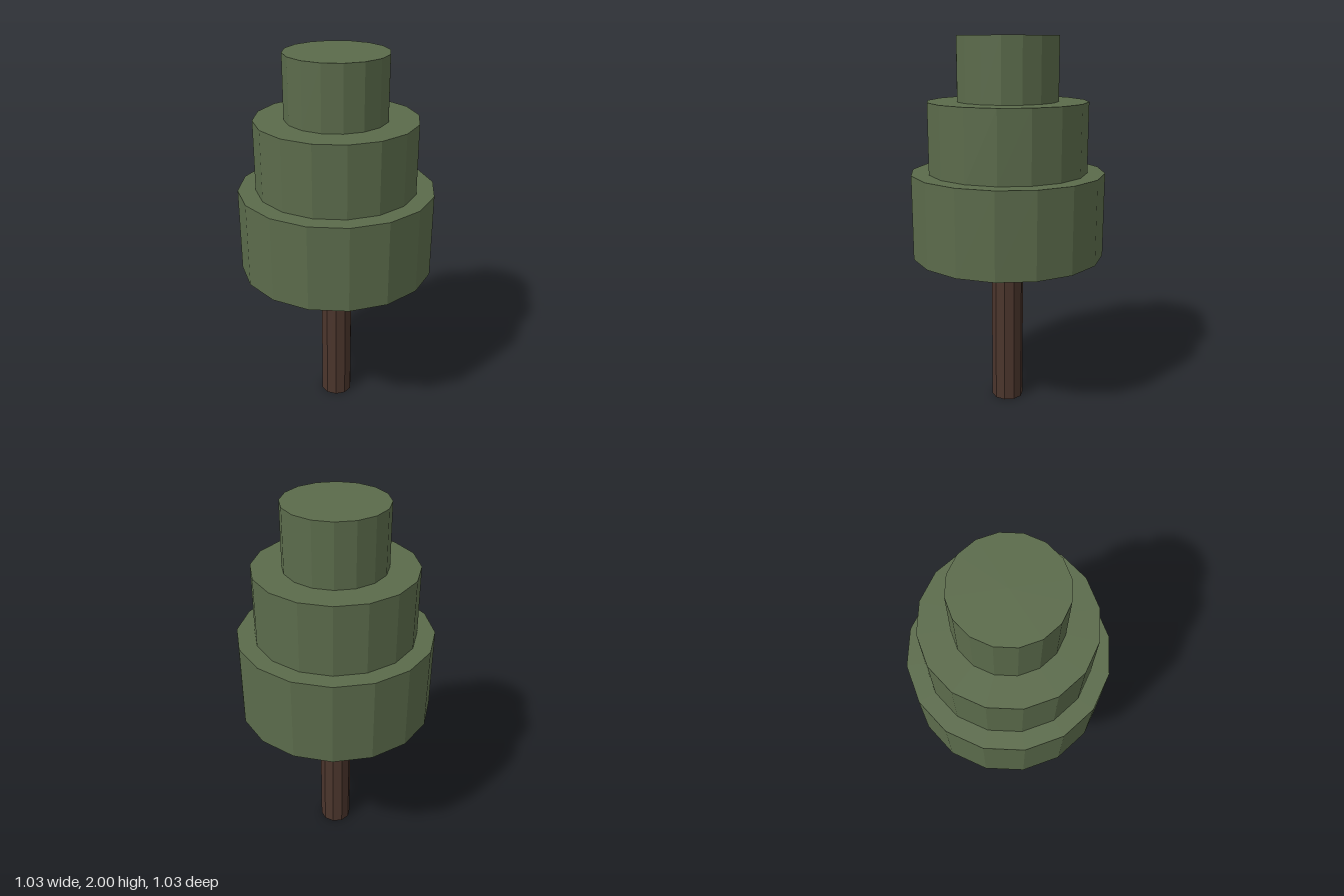
import * as THREE from 'three';

export function createModel() {
  const tree = new THREE.Group();
  tree.name = 'tree';
  const bark = new THREE.MeshStandardMaterial({ color: 0x4b352c, flatShading: true });
  const leaves = new THREE.MeshStandardMaterial({ color: 0x5b6b4b, flatShading: true });

  // Upright prism between two heights
  function addPrism(name, radius, bottom, top, sides, material) {
    const geometry = new THREE.CylinderGeometry(radius, radius, top - bottom, sides);
    const mesh = new THREE.Mesh(geometry, material);
    mesh.name = name;
    mesh.position.y = (bottom + top) / 2;
    tree.add(mesh);
  }

  // Slender trunk
  addPrism('trunk', 0.087, 0, 0.85, 10, bark);

  // Three stacked foliage tiers, narrowing upward
  const tiers = [
    ['lowerFoliage', 0.516, 0.85, 1.3],
    ['middleFoliage', 0.423, 1.3, 1.67],
    ['upperFoliage', 0.267, 1.67, 2],
  ];
  for (const [name, radius, bottom, top] of tiers) {
    addPrism(name, radius, bottom, top, 16, leaves);
  }

  return tree;
}
